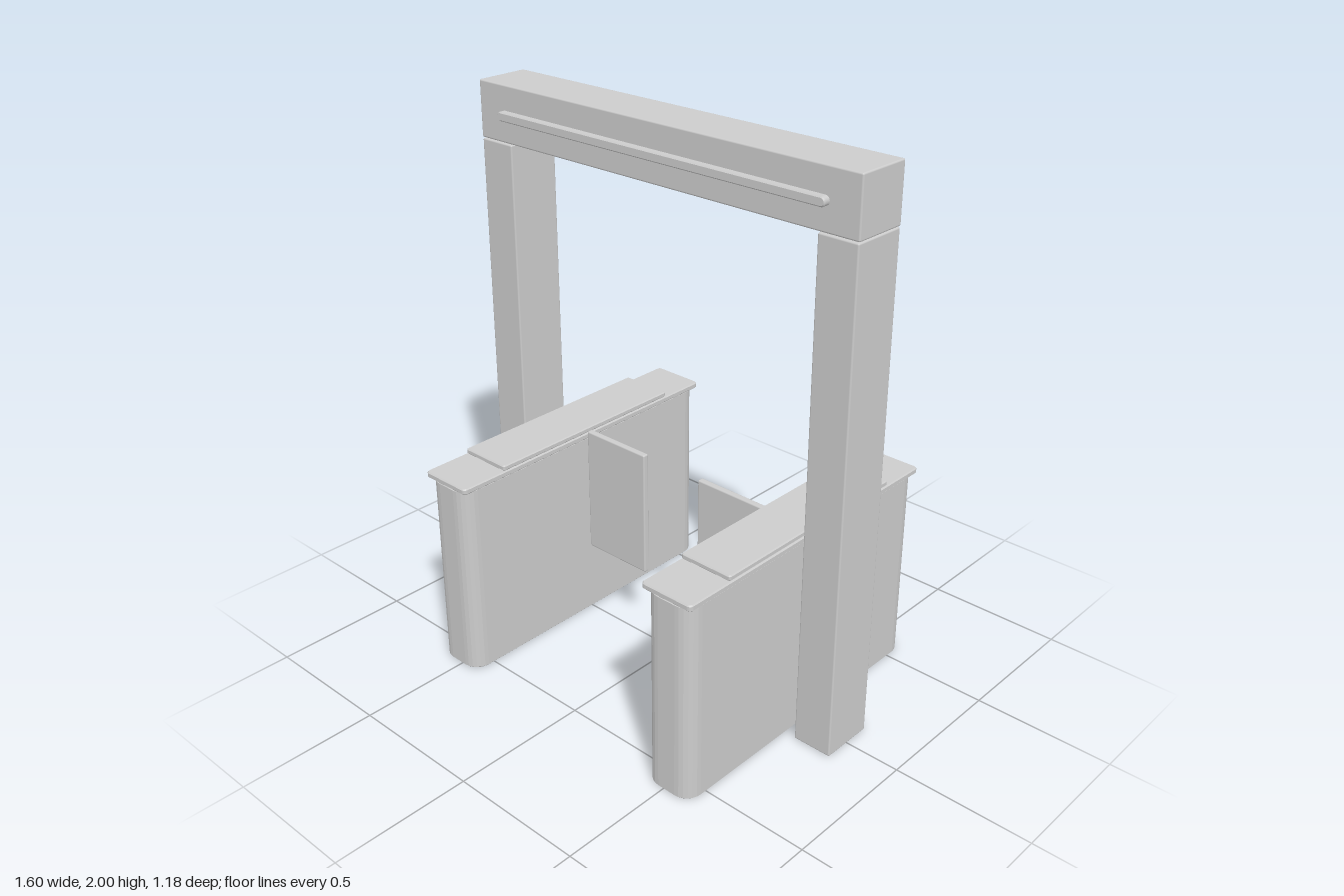
import * as THREE from 'three';
import { RoundedBoxGeometry } from 'three/addons/geometries/RoundedBoxGeometry.js';

const grey = new THREE.MeshStandardMaterial({ color: 0xcccccc });
grey.name = 'light grey';

// Box with softened edges, given by its min and max on each axis
function box(name, [x0, x1], [y0, y1], [z0, z1], radius = 0.006) {
  const geo = new RoundedBoxGeometry(x1 - x0, y1 - y0, z1 - z0, 2, radius);
  const mesh = new THREE.Mesh(geo, grey);
  mesh.name = name;
  mesh.position.set((x0 + x1) / 2, (y0 + y1) / 2, (z0 + z1) / 2);
  return mesh;
}

// Rounded rectangle centred on the origin
function roundedRect(w, h, r) {
  const s = new THREE.Shape();
  const x = w / 2 - r, y = h / 2 - r;
  s.absarc(x, y, r, 0, Math.PI / 2);
  s.absarc(-x, y, r, Math.PI / 2, Math.PI);
  s.absarc(-x, -y, r, Math.PI, Math.PI * 1.5);
  s.absarc(x, -y, r, Math.PI * 1.5, Math.PI * 2);
  return s;
}

// Upright prism with rounded plan corners
function slab(name, w, d, r, y0, y1, segments) {
  const bevel = 0.004;
  const geo = new THREE.ExtrudeGeometry(roundedRect(w, d, r), {
    depth: y1 - y0 - 2 * bevel, curveSegments: segments,
    bevelThickness: bevel, bevelSize: bevel, bevelOffset: -bevel, bevelSegments: 1,
  });
  geo.translate(0, 0, bevel);
  geo.rotateX(-Math.PI / 2);
  const mesh = new THREE.Mesh(geo, grey);
  mesh.name = name;
  mesh.position.y = y0;
  return mesh;
}

// Barrier cabinet with its layered lid
function cabinet(side) {
  const group = new THREE.Group();
  group.add(
    slab('cabinetBody', 0.19, 1.175, 0.06, 0, 0.731, 3),
    slab('cabinetLid', 0.205, 1.182, 0.015, 0.731, 0.753, 3),
    slab('cabinetTopPlate', 0.2, 0.82, 0.008, 0.753, 0.773, 2),
  );
  group.position.x = side * 0.515;
  return group;
}

export function createModel() {
  const model = new THREE.Group();
  model.name = 'entranceGate';

  // Overhead frame
  model.add(box('crossBeam', [-0.8, 0.8], [1.8, 2], [-0.1, 0.1]));

  // Light strip on the front of the beam
  const strip = new THREE.Mesh(new THREE.ExtrudeGeometry(roundedRect(1.38, 0.032, 0.0155), {
    depth: 0.022, curveSegments: 5,
    bevelThickness: 0.004, bevelSize: 0.004, bevelOffset: -0.004, bevelSegments: 1,
  }), grey);
  strip.name = 'frontStrip';
  strip.position.set(0, 1.897, 0.098);
  model.add(strip);

  // Posts, cabinets and swing panels on both sides
  for (const side of [-1, 1]) {
    const label = side > 0 ? 'left' : 'right';
    const span = (a, b) => (side > 0 ? [a, b] : [-b, -a]);
    model.add(box(label + 'Post', span(0.652, 0.798), [0, 1.797], [-0.1, 0.1]));
    const unit = cabinet(side);
    unit.name = label + 'Cabinet';
    model.add(unit);
    model.add(box(label + 'BarrierPanel', span(0.127, 0.412), [0.28, 0.762], [-0.012, 0.012]));
  }
  return model;
}
